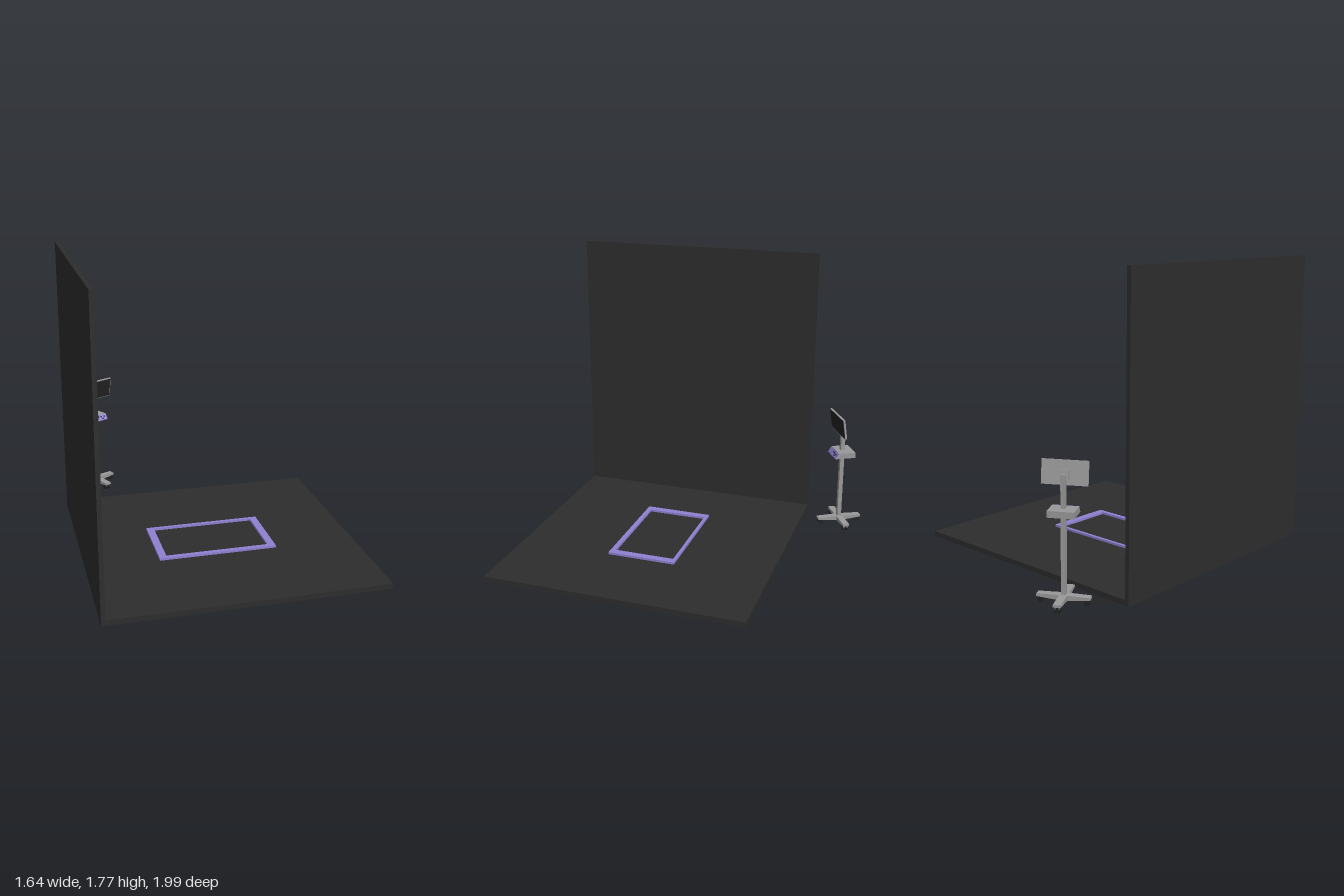
import * as THREE from 'three';

export function createModel() {
  const mat = (name, color) => {
    const m = new THREE.MeshStandardMaterial({ color });
    m.name = name;
    return m;
  };
  const dark = mat('charcoal panel', 0x2d2d2d);
  const purple = mat('purple', 0x9080d2);
  const grey = mat('grey metal', 0x999999);
  const black = mat('black', 0x222222);

  const add = (parent, name, geo, material, x = 0, y = 0, z = 0) => {
    const mesh = new THREE.Mesh(geo, material);
    mesh.name = name;
    mesh.position.set(x, y, z);
    parent.add(mesh);
    return mesh;
  };
  const box = (w, h, d) => new THREE.BoxGeometry(w, h, d);
  // side profile of [z, y] points, extruded across x and centred
  const profile = (points, width) => {
    const shape = new THREE.Shape(points.map(([z, y]) => new THREE.Vector2(-z, y)));
    const geo = new THREE.ExtrudeGeometry(shape, { depth: width, bevelEnabled: false });
    return geo.translate(0, 0, -width / 2).rotateY(Math.PI / 2);
  };

  const model = new THREE.Group();
  model.name = 'roomWithStand';

  // Floor and side wall
  add(model, 'floor', box(1.62, 0.032, 1.61), dark, 0.012, 0.016, 0.195);
  add(model, 'wall', box(0.025, 1.775, 1.61), dark, -0.81, 0.8875, 0.195);

  // Rectangular frame on the floor
  const outline = new THREE.Shape();
  outline.moveTo(-0.39, -0.41).lineTo(0.325, -0.41).lineTo(0.325, 0.02).lineTo(-0.39, 0.02).closePath();
  const hole = new THREE.Path();
  hole.moveTo(-0.345, -0.38).lineTo(-0.345, 0).lineTo(0.28, 0).lineTo(0.28, -0.38).closePath();
  outline.holes.push(hole);
  const frame = new THREE.ExtrudeGeometry(outline, { depth: 0.014, bevelEnabled: false });
  add(model, 'floorFrame', frame.rotateX(-Math.PI / 2), purple, 0, 0.032, 0);

  // Mobile stand, turned towards the floor
  const stand = new THREE.Group();
  stand.name = 'mobileStand';
  stand.position.set(-0.594, 0, -0.858);
  stand.rotation.y = Math.PI / 6;
  model.add(stand);

  // Base: four tapered legs with twin-wheel casters
  const legGeo = profile([[0, 0.052], [0.145, 0.066], [0.145, 0.08], [0, 0.084]], 0.042);
  const wheelGeo = new THREE.CylinderGeometry(0.016, 0.016, 0.011, 16).rotateZ(Math.PI / 2);
  for (let i = 0; i < 4; i++) {
    const leg = new THREE.Group();
    leg.name = 'leg' + (i + 1);
    leg.rotation.y = i * Math.PI / 2;
    stand.add(leg);
    add(leg, 'legBeam', legGeo, grey);
    add(leg, 'casterFork', box(0.014, 0.022, 0.014), black, 0, 0.058, 0.127);
    for (const s of [-1, 1]) add(leg, 'casterWheel', wheelGeo, black, s * 0.011, 0.048, 0.125);
  }

  // Pole
  add(stand, 'pole', box(0.026, 0.65, 0.026), grey, 0, 0.4, 0);

  // Control box with a sloping front panel
  const control = new THREE.Group();
  control.name = 'controlBox';
  stand.add(control);
  add(control, 'controlHousing',
    profile([[-0.065, 0.512], [0.068, 0.512], [0.045, 0.548], [-0.065, 0.548]], 0.144), grey);
  const panel = new THREE.Group();
  panel.name = 'controlPanel';
  panel.position.set(0, 0.53, 0.0575);
  panel.rotation.x = -Math.atan2(0.023, 0.036);
  control.add(panel);
  add(panel, 'panelFace', box(0.142, 0.041, 0.004), purple);
  const knobGeo = new THREE.CylinderGeometry(0.005, 0.005, 0.006, 14).rotateX(Math.PI / 2);
  for (const [x, y] of [[0.005, 0.008], [0.026, 0.006], [0.034, -0.008], [0.05, 0.004]]) {
    add(panel, 'knob', knobGeo, black, x, y, 0.004);
  }

  // Monitor, leaning slightly forward
  const monitor = new THREE.Group();
  monitor.name = 'monitor';
  monitor.position.set(0, 0.728, 0.034);
  monitor.rotation.x = 0.15;
  stand.add(monitor);
  add(monitor, 'monitorCase', box(0.25, 0.13, 0.012), grey);
  add(monitor, 'screen', box(0.24, 0.122, 0.004), black, 0, 0, 0.006);
  add(monitor, 'mount', box(0.05, 0.05, 0.024), grey, 0, -0.01, -0.016);

  return model;
}
